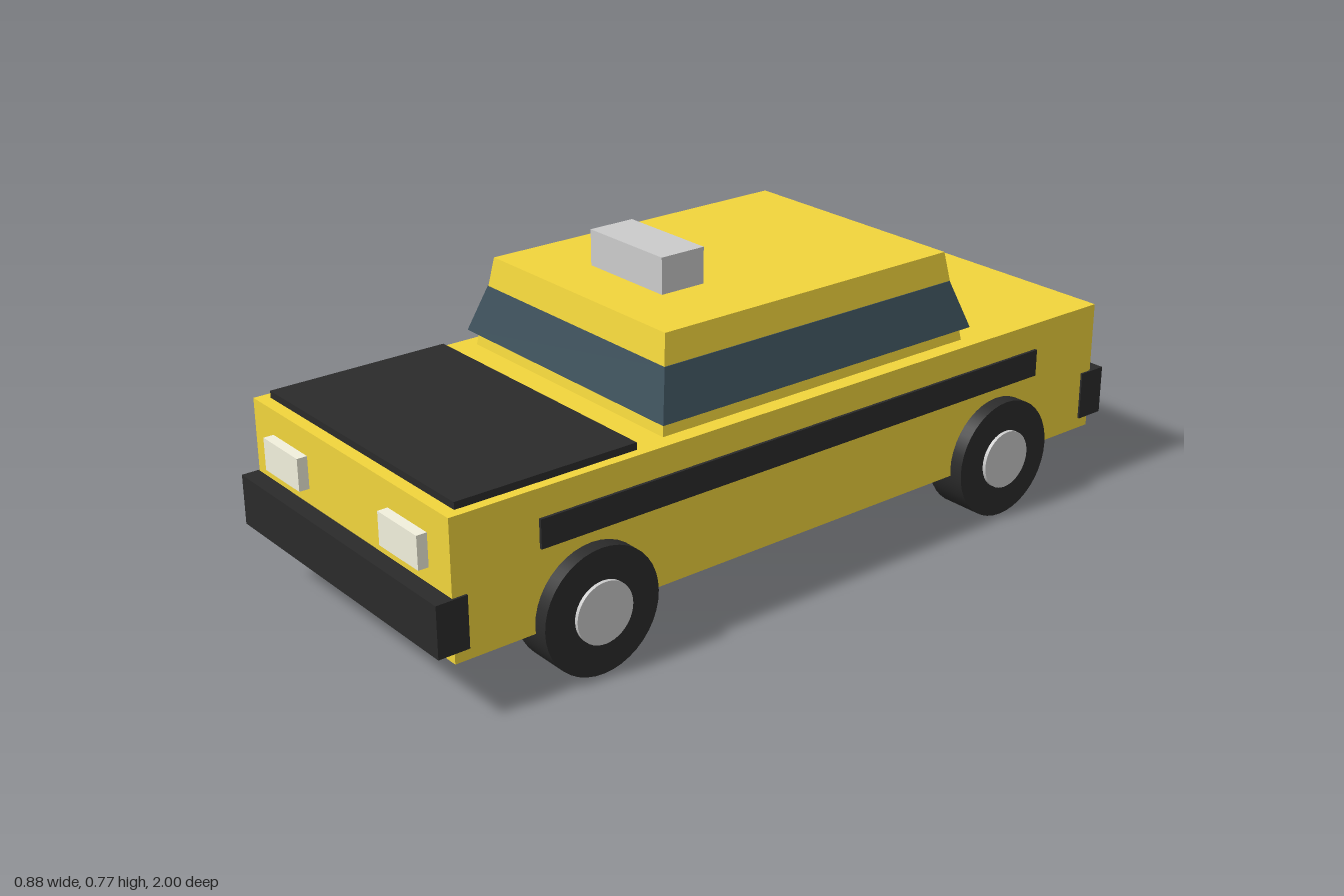
import * as THREE from 'three';

const mat = (color) => new THREE.MeshStandardMaterial({ color, flatShading: true });

export function createModel() {
  const car = new THREE.Group();
  car.name = 'taxi';
  const yellow = mat(0xf2d53c);
  const black = mat(0x2b2b2b);
  const glass = mat(0x3c4f5a);
  const silver = mat(0xcccccc);
  const cream = mat(0xf2f0dc);
  const red = mat(0xc02a2a);

  const add = (name, geometry, material) => {
    const mesh = new THREE.Mesh(geometry, material);
    mesh.name = name;
    car.add(mesh);
    return mesh;
  };

  // Box given by its extents on each axis
  const box = (name, material, [x0, x1], [y0, y1], [z0, z1]) => {
    const mesh = add(name, new THREE.BoxGeometry(x1 - x0, y1 - y0, z1 - z0), material);
    mesh.position.set((x0 + x1) / 2, (y0 + y1) / 2, (z0 + z1) / 2);
    return mesh;
  };

  // Box whose top is narrower than its base; each end is [y, halfWidth, zBack, zFront]
  const taperedBox = (name, material, bottom, top) => {
    const geometry = new THREE.BoxGeometry(2, 2, 2);
    const p = geometry.attributes.position;
    for (let i = 0; i < p.count; i++) {
      const [y, halfWidth, back, front] = p.getY(i) > 0 ? top : bottom;
      p.setXYZ(i, p.getX(i) * halfWidth, y, p.getZ(i) > 0 ? front : back);
    }
    geometry.computeVertexNormals();
    return add(name, geometry, material);
  };

  // Body, hood panel, cabin and wrap-around windows
  box('body', yellow, [-0.395, 0.395], [0.133, 0.46], [-0.958, 0.958]);
  box('hoodPanel', black, [-0.371, 0.371], [0.45, 0.477], [0.472, 0.928]);
  taperedBox('cabin', yellow, [0.45, 0.356, -0.522, 0.391], [0.679, 0.32, -0.486, 0.354]);
  taperedBox('windows', glass, [0.495, 0.372, -0.53, 0.402], [0.608, 0.333, -0.495, 0.366]);
  box('roofSign', silver, [-0.131, 0.131], [0.67, 0.766], [0.092, 0.212]);

  // Bumpers
  box('frontBumper', black, [-0.4, 0.4], [0.16, 0.282], [0.924, 1]);
  box('rearBumper', black, [-0.4, 0.4], [0.16, 0.282], [-1, -0.924]);

  for (const side of [-1, 1]) {
    const label = side > 0 ? 'left' : 'right';
    const span = (a, b) => (side > 0 ? [a, b] : [-b, -a]);

    // Side trim and lamps
    box(label + 'SideTrim', black, span(0.38, 0.402), [0.325, 0.393], [-0.743, 0.743]);
    box(label + 'Headlight', cream, span(0.165, 0.313), [0.32, 0.398], [0.94, 0.983]);
    box(label + 'TailLight', red, span(0.165, 0.313), [0.33, 0.413], [-0.981, -0.94]);

    // Wheels with protruding hubcaps
    for (const z of [0.612, -0.612]) {
      const end = z > 0 ? 'Front' : 'Rear';
      const wheelPart = (name, radius, x0, x1, material) => {
        const geometry = new THREE.CylinderGeometry(radius, radius, x1 - x0, 40).rotateZ(Math.PI / 2);
        const smooth = material.clone();
        smooth.flatShading = false;
        add(label + end + name, geometry, smooth).position.set(side * (x0 + x1) / 2, 0.149, z);
      };
      wheelPart('Tyre', 0.149, 0.324, 0.43, black);
      wheelPart('Hubcap', 0.073, 0.4, 0.439, silver);
    }
  }
  return car;
}
